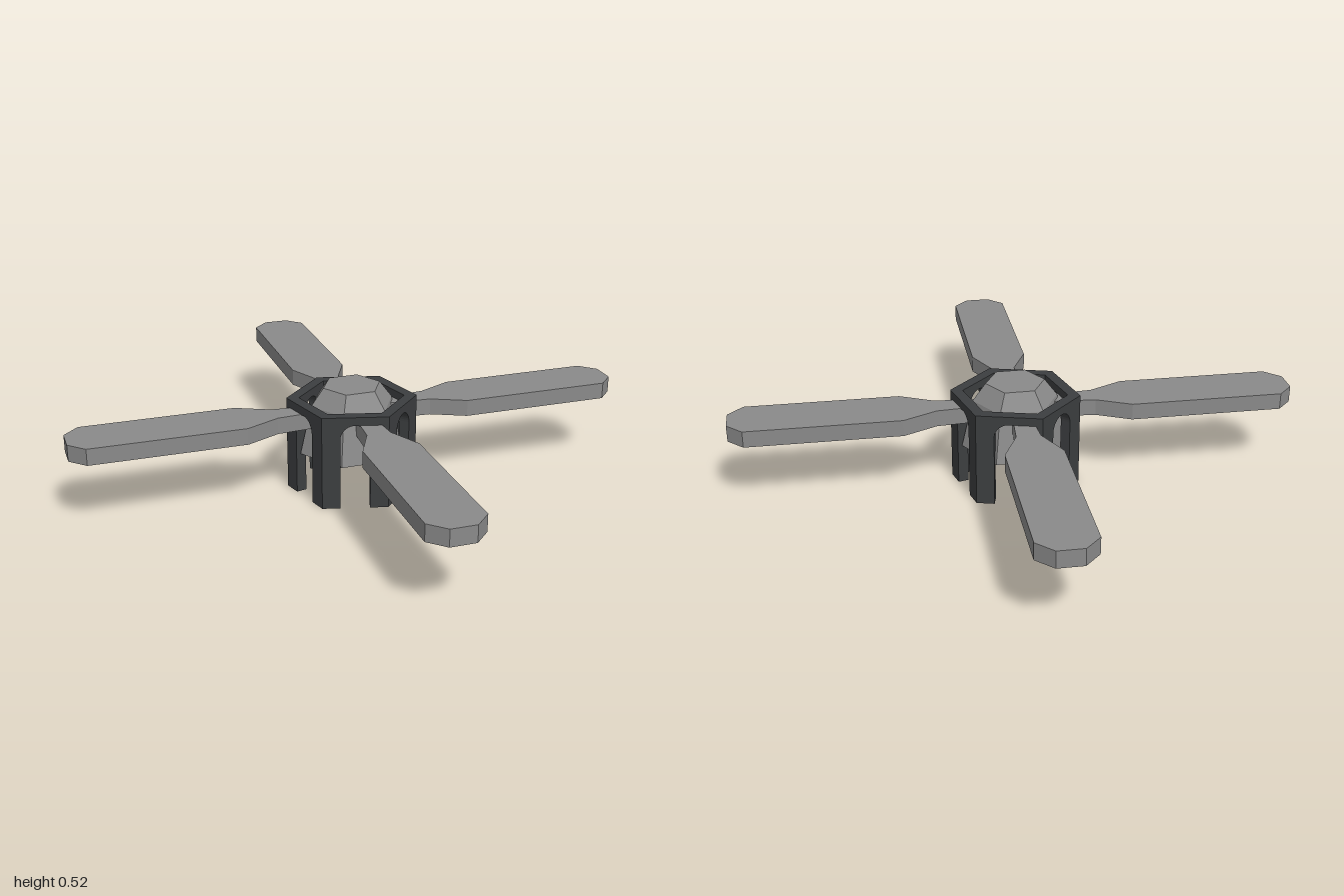
import * as THREE from 'three';

const darkMaterial = new THREE.MeshStandardMaterial({ color: 0x3c3e40, flatShading: true });
const greyMaterial = new THREE.MeshStandardMaterial({ color: 0x8a8a8a, flatShading: true });

const APOTHEM = 0.27;
const WALL = 0.052;
const HEIGHT = 0.46;

// One side of the hexagonal frame: a slab with an arched opening and mitred ends
function wallGeometry() {
  const half = APOTHEM * Math.tan(Math.PI / 6);
  const innerHalf = (APOTHEM - WALL) * Math.tan(Math.PI / 6);
  const arch = 0.07;
  const shape = new THREE.Shape();
  shape.moveTo(arch, 0);
  shape.lineTo(half, 0);
  shape.lineTo(half, HEIGHT);
  shape.lineTo(-half, HEIGHT);
  shape.lineTo(-half, 0);
  shape.lineTo(-arch, 0);
  shape.lineTo(-arch, 0.35);
  shape.absarc(0, 0.35, arch, Math.PI, 0, true);
  shape.lineTo(arch, 0);
  const geometry = new THREE.ExtrudeGeometry(shape, {
    depth: WALL, bevelEnabled: false, curveSegments: 10,
  });
  const p = geometry.attributes.position;
  for (let i = 0; i < p.count; i++) {
    const x = p.getX(i);
    if (p.getZ(i) < WALL / 2 && Math.abs(x) > half - 0.001) p.setX(i, Math.sign(x) * innerHalf);
  }
  geometry.translate(0, 0, APOTHEM - WALL);
  geometry.computeVertexNormals();
  return geometry;
}

// Paddle outline along +x, extruded upward
function bladeGeometry() {
  const profile = [[0.18, 0.042], [0.382, 0.057], [0.545, 0.134], [1.28, 0.134], [1.354, 0.06]];
  const outline = [
    ...profile.map(([u, v]) => new THREE.Vector2(u, -v)),
    ...profile.map(([u, v]) => new THREE.Vector2(u, v)).reverse(),
  ];
  const geometry = new THREE.ExtrudeGeometry(new THREE.Shape(outline), {
    depth: 0.08, bevelEnabled: false,
  });
  geometry.rotateX(-Math.PI / 2);
  geometry.translate(0, 0.34, 0);
  return geometry;
}

export function createModel() {
  const model = new THREE.Group();

  // Hexagonal frame on six corner legs
  const frame = new THREE.Group();
  frame.name = 'frame';
  const wall = wallGeometry();
  for (let i = 0; i < 6; i++) {
    const side = new THREE.Mesh(wall, darkMaterial);
    side.name = 'archedWall';
    side.rotation.y = Math.PI / 2 + i * Math.PI / 3;
    frame.add(side);
  }
  model.add(frame);

  // Faceted hub: flared lower body with a chamfered cap, slightly turned in the frame
  const hubProfile = [[0, 0.2], [0.26, 0.2], [0.205, 0.435], [0.142, 0.52], [0, 0.52]]
    .map(([r, y]) => new THREE.Vector2(r, y));
  const hub = new THREE.Mesh(
    new THREE.LatheGeometry(hubProfile, 6, THREE.MathUtils.degToRad(16)), greyMaterial);
  hub.name = 'hub';
  model.add(hub);

  // Four diagonal blades
  const blade = bladeGeometry();
  for (let i = 0; i < 4; i++) {
    const mesh = new THREE.Mesh(blade, greyMaterial);
    mesh.name = 'blade';
    mesh.rotation.y = Math.PI / 4 + i * Math.PI / 2;
    model.add(mesh);
  }
  return model;
}
